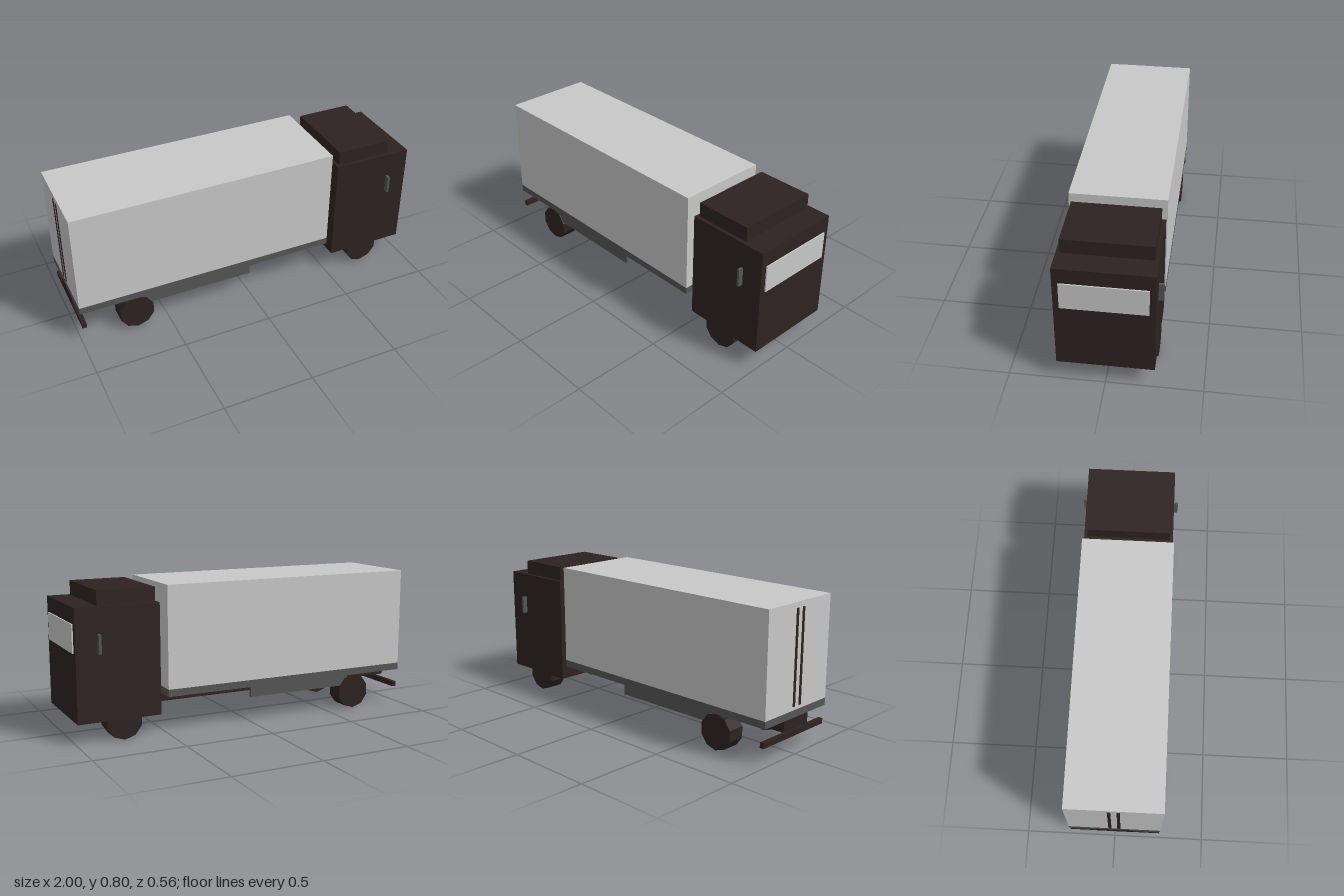
import * as THREE from 'three';

export function createModel() {
  const truck = new THREE.Group();
  truck.name = 'boxTruck';

  const mat = (name, color) => {
    const m = new THREE.MeshStandardMaterial({ color });
    m.name = name;
    return m;
  };
  const dark = mat('darkBrown', 0x2d2222);
  const grey = mat('midGrey', 0x555555);
  const light = mat('lightGrey', 0xc8c8c8);

  const add = (name, geometry, material) => {
    const mesh = new THREE.Mesh(geometry, material);
    mesh.name = name;
    truck.add(mesh);
    return mesh;
  };
  // Box given by its extents along each axis
  const box = (name, material, [x0, x1], [y0, y1], [z0, z1]) =>
    add(name, new THREE.BoxGeometry(x1 - x0, y1 - y0, z1 - z0), material)
      .position.set((x0 + x1) / 2, (y0 + y1) / 2, (z0 + z1) / 2);

  // Cargo body and running gear
  box('cargoBox', light, [-0.997, 0.495], [0.24, 0.798], [-0.254, 0.254]);
  box('cargoFloor', grey, [-0.997, 0.495], [0.2, 0.24], [-0.254, 0.254]);
  box('chassis', dark, [-0.997, 0.56], [0.14, 0.2], [-0.1, 0.1]);
  box('rearBumper', dark, [-0.99, -0.966], [0.096, 0.125], [-0.25, 0.25]);

  // Cab
  box('cab', dark, [0.537, 0.993], [0.11, 0.71], [-0.25, 0.25]);
  box('roofFairing', dark, [0.555, 0.87], [0.71, 0.79], [-0.23, 0.23]);
  box('windshield', light, [0.992, 1], [0.475, 0.625], [-0.219, 0.219]);

  // Mirrored parts on both flanks
  for (const s of [-1, 1]) {
    const span = (a, b) => (s > 0 ? [a, b] : [-b, -a]);
    box('mirror', grey, [0.864, 0.877], [0.47, 0.57], span(0.25, 0.278));
    box('sideSkirt', grey, [-0.64, 0], [0.14, 0.2], span(0.23, 0.245));
    box('doorBar', dark, [-1, -0.996], [0.26, 0.768], span(0.016, 0.033));

    // Ten-sided wheels
    for (const x of [-0.68, 0.742]) {
      const tyre = new THREE.CylinderGeometry(0.1, 0.1, 0.1, 10).toNonIndexed();
      tyre.rotateX(Math.PI / 2);
      tyre.computeVertexNormals();
      add('wheel', tyre, dark).position.set(x, 0.1, s * 0.2);
    }
  }
  return truck;
}
